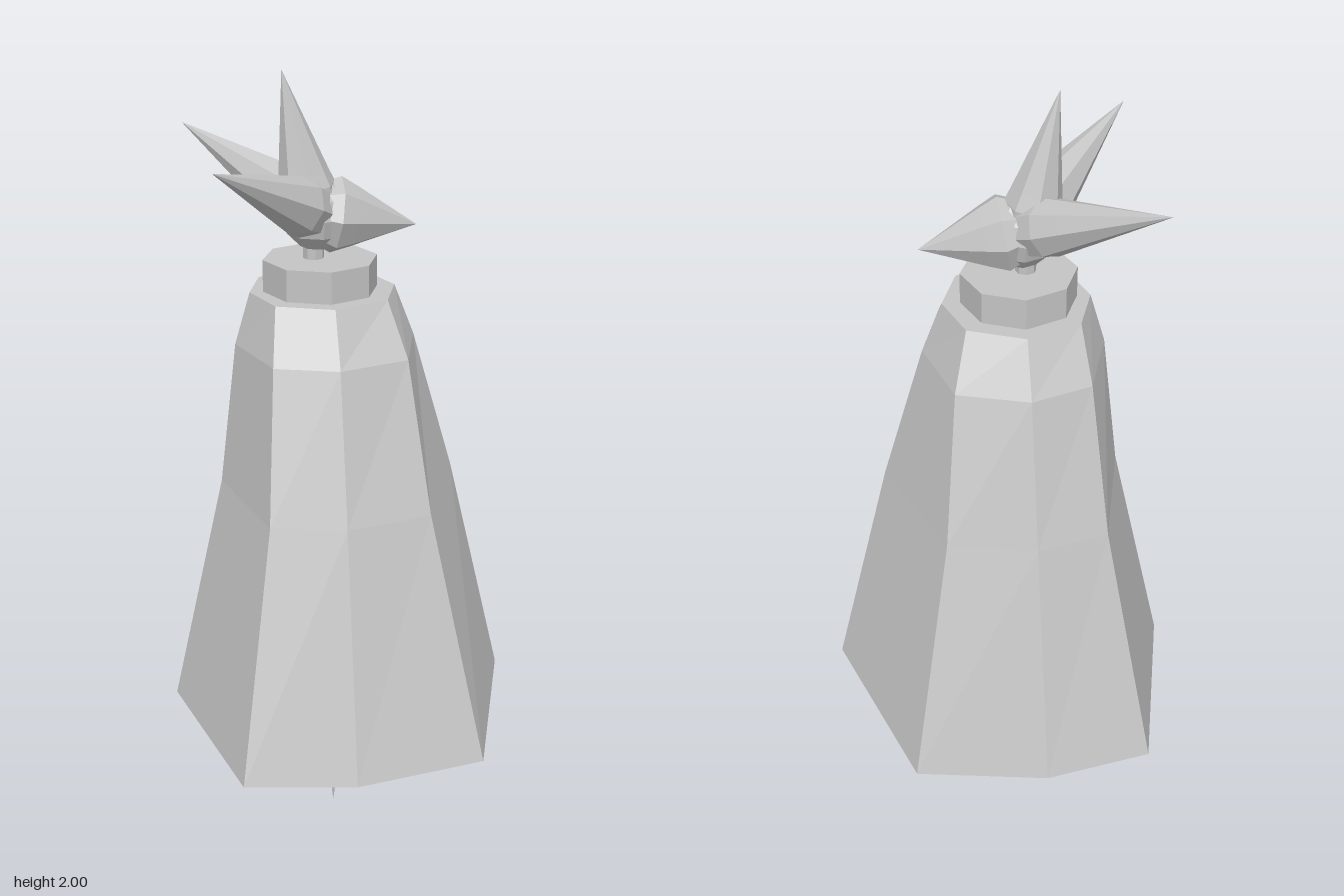
import * as THREE from 'three';

const grey = new THREE.MeshStandardMaterial({ color: 0xc4c4c4, flatShading: true });
grey.name = 'pale grey';

// Closed eight-sided loft; each ring: [y, left x, left corner x, middle x, right corner x, right x, corner z, middle z]
function loft(rings) {
  const n = 8, pos = [], index = [];
  for (const [y, l, lc, m, rc, r, cz, mz] of rings) {
    const ring = [[r, 0], [rc, cz], [m, mz], [lc, cz], [l, 0], [lc, -cz], [m, -mz], [rc, -cz]];
    for (const [x, z] of ring) pos.push(x, y, z);
  }
  for (let k = 0; k < rings.length - 1; k++) {
    for (let i = 0; i < n; i++) {
      const a = k * n + i, b = k * n + (i + 1) % n;
      index.push(a, a + n, b, b, a + n, b + n);
    }
  }
  const top = (rings.length - 1) * n;
  for (let i = 1; i < n - 1; i++) {
    index.push(0, i, i + 1);
    index.push(top, top + i + 1, top + i);
  }
  const g = new THREE.BufferGeometry();
  g.setAttribute('position', new THREE.Float32BufferAttribute(pos, 3));
  g.setIndex(index);
  const flat = g.toNonIndexed();
  flat.computeVertexNormals();
  return flat;
}

// Faceted spike from base to tip; profile is [radius, fraction along the axis]
function spike(base, tip, profile) {
  const from = new THREE.Vector3(...base);
  const dir = new THREE.Vector3(...tip).sub(from);
  const len = dir.length();
  const g = new THREE.LatheGeometry(profile.map(([r, t]) => new THREE.Vector2(r, t * len)), 8);
  g.applyQuaternion(new THREE.Quaternion().setFromUnitVectors(new THREE.Vector3(0, 1, 0), dir.normalize()));
  return g.translate(from.x, from.y, from.z);
}

export function createModel() {
  const model = new THREE.Group();
  model.name = 'cloakedFigure';
  const add = (name, geometry, parent = model) => {
    const mesh = new THREE.Mesh(geometry, grey);
    mesh.name = name;
    parent.add(mesh);
  };

  // Flaring cloak with a closed hem
  add('cloak', loft([
    [0.29, -0.462, -0.348, -0.065, 0.28, 0.46, 0.512, 0.568],
    [0.92, -0.32, -0.243, -0.055, 0.172, 0.31, 0.335, 0.385],
    [1.30, -0.275, -0.21, -0.05, 0.135, 0.2, 0.215, 0.27],
    [1.437, -0.235, -0.19, -0.048, 0.098, 0.147, 0.137, 0.195],
  ]));

  // Collar and neck
  add('collar', new THREE.CylinderGeometry(0.15, 0.15, 0.085, 8).translate(-0.05, 1.478, 0));
  add('neck', new THREE.CylinderGeometry(0.027, 0.027, 0.08, 8).translate(-0.067, 1.55, 0));

  // Head with a beak, a crest and two swept ears
  const head = new THREE.Group();
  head.name = 'head';
  model.add(head);
  add('skull', new THREE.SphereGeometry(0.093, 8, 6).translate(-0.055, 1.633, 0), head);
  add('beak', spike([-0.1, 1.645, 0], [0.203, 1.595, 0],
    [[0, 0], [0.07, 0.08], [0.1, 0.3], [0.08, 0.45], [0, 1]]), head);
  add('crest', spike([-0.07, 1.63, 0], [-0.145, 2, 0],
    [[0, 0], [0.07, 0.04], [0.075, 0.2], [0.064, 0.31], [0, 1]]), head);
  for (const s of [1, -1]) {
    add(s > 0 ? 'frontEar' : 'backEar', spike([-0.055, 1.635, 0], [-0.362, 1.82, s * 0.323],
      [[0, 0], [0.07, 0.04], [0.077, 0.2], [0.062, 0.36], [0, 1]]), head);
  }

  // Pointed legs below the hem
  for (const s of [1, -1]) {
    add(s > 0 ? 'frontLeg' : 'backLeg',
      new THREE.CylinderGeometry(0.038, 0, 0.3, 6).translate(-0.052, 0.15, s * 0.177));
  }
  return model;
}
